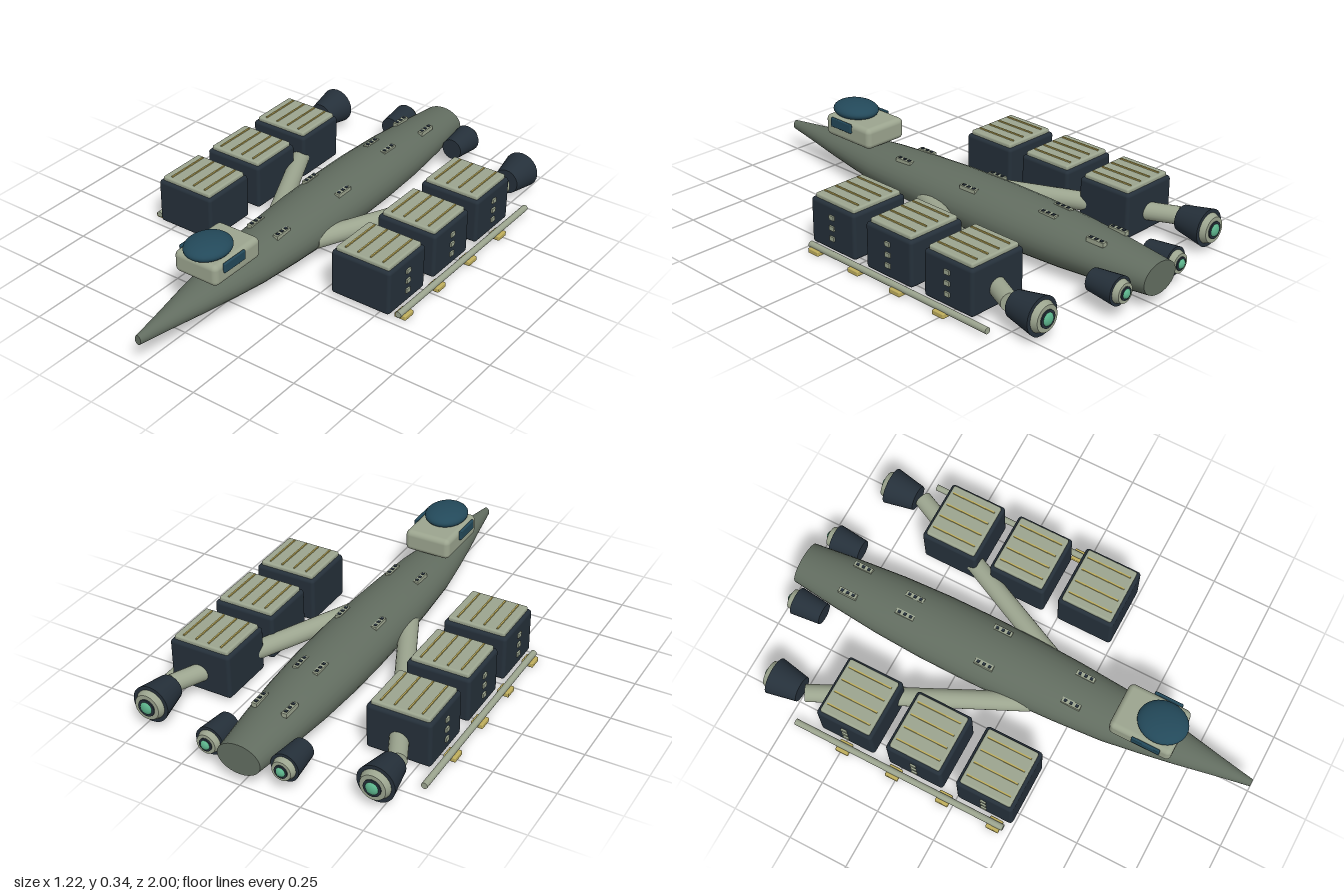
import * as THREE from 'three';
import { mergeVertices } from 'three/addons/utils/BufferGeometryUtils.js';
import { RoundedBoxGeometry } from 'three/addons/geometries/RoundedBoxGeometry.js';

const mat = (name, color) => Object.assign(new THREE.MeshStandardMaterial({ color }), { name });

export function createModel() {
  const model = new THREE.Group();
  model.name = 'cargoShip';
  const hullGreen = mat('hullGreen', 0x626d60);
  const paleGrey = mat('paleGrey', 0x9ca58f);
  const navy = mat('navy', 0x25303a);
  const yellow = mat('yellow', 0xbfae5c);
  const glass = mat('glass', 0x23495a);
  const glow = mat('glow', 0x5cb48c);

  const add = (parent, name, geo, material, x = 0, y = 0, z = 0) => {
    const mesh = new THREE.Mesh(geo, material);
    mesh.name = name;
    mesh.position.set(x, y, z);
    parent.add(mesh);
    return mesh;
  };
  const box = (w, h, d) => new THREE.BoxGeometry(w, h, d);
  const rounded = (w, h, d, r) => new RoundedBoxGeometry(w, h, d, 3, r);
  const group = (parent, name, x = 0, y = 0, z = 0) => {
    const g = new THREE.Group();
    g.name = name;
    g.position.set(x, y, z);
    parent.add(g);
    return g;
  };

  // Hull: elliptical rings listed as z, half width, half height
  const hullY = 0.118;
  const rings = [
    [-1, 0.09, 0.064], [-0.8, 0.113, 0.084], [-0.6, 0.131, 0.099], [-0.4, 0.141, 0.106],
    [-0.22, 0.143, 0.108], [0, 0.14, 0.105], [0.2, 0.131, 0.096], [0.4, 0.117, 0.083],
    [0.55, 0.095, 0.069], [0.7, 0.07, 0.053], [0.85, 0.041, 0.037], [1, 0.014, 0.02],
  ];
  let hull = new THREE.LatheGeometry(rings.map(([z, rx]) => new THREE.Vector2(rx, z)), 28);
  hull.rotateX(Math.PI / 2);
  const p = hull.attributes.position;
  for (let i = 0; i < p.count; i++) {
    const [, rx, ry] = rings[i % rings.length];
    p.setY(i, p.getY(i) * ry / rx);
  }
  hull.deleteAttribute('normal');
  hull.deleteAttribute('uv');
  hull = mergeVertices(hull, 1e-5);
  hull.computeVertexNormals();
  add(model, 'hull', hull, hullGreen, 0, hullY, 0);
  for (const [z, rx, ry] of [rings[0], rings[rings.length - 1]]) {
    const cap = new THREE.CircleGeometry(1, 28);
    if (z < 0) cap.rotateY(Math.PI);
    cap.scale(rx, ry, 1);
    add(model, z < 0 ? 'sternCap' : 'noseCap', cap, hullGreen, 0, hullY, z);
  }

  // Cabin with oval canopy and side windows
  add(model, 'cabin', rounded(0.2, 0.09, 0.264, 0.022), paleGrey, 0, 0.245, 0.551);
  const canopy = new THREE.SphereGeometry(1, 32, 20);
  canopy.scale(0.087, 0.036, 0.102);
  add(model, 'canopy', canopy, glass, 0, 0.307, 0.602);
  for (const s of [-1, 1])
    add(model, 'sideWindow', rounded(0.012, 0.04, 0.12, 0.004), glass, s * 0.103, 0.268, 0.58);

  // Engine pointing backwards; r is the wide rear radius
  const engine = (x, y, z, r, front) => {
    const g = group(model, 'engine', x, y, z);
    const tube = (name, rBack, rFront, len, m, zBack) => {
      const c = new THREE.CylinderGeometry(rFront, rBack, len, 24);
      c.rotateX(Math.PI / 2);
      add(g, name, c, m, 0, 0, zBack + len / 2);
    };
    tube('engineBell', r, front, 0.125, navy, 0);
    tube('engineCollar', r * 0.68, r * 0.8, 0.024, paleGrey, -0.024);
    tube('engineThroat', r * 0.46, r * 0.46, 0.006, navy, -0.029);
    const light = new THREE.SphereGeometry(1, 20, 12);
    light.scale(r * 0.34, r * 0.34, 0.013);
    add(g, 'engineGlow', light, glow, 0, 0, -0.027);
  };

  for (const s of [-1, 1]) {
    // Swept strut carrying the outer engine
    const a = new THREE.Vector3(s * 0.1, 0.103, 0.085);
    const b = new THREE.Vector3(s * 0.48, 0.101, -0.72);
    const dir = b.clone().sub(a);
    const mid = a.clone().add(b).multiplyScalar(0.5);
    const strut = add(model, 'strut', new THREE.CylinderGeometry(0.036, 0.04, dir.length(), 20),
      paleGrey, mid.x, mid.y, mid.z);
    strut.quaternion.setFromUnitVectors(new THREE.Vector3(0, 1, 0), dir.normalize());
    engine(s * 0.474, 0.1, -0.865, 0.077, 0.053);
    engine(s * 0.157, 0.106, -0.948, 0.058, 0.045);

    // Cargo pods with ribbed lids and latches on the outer face
    for (const z of [-0.492, -0.185, 0.122]) {
      const pod = group(model, 'cargoPod', s * 0.425, 0, z);
      add(pod, 'podBody', rounded(0.266, 0.191, 0.244, 0.014), navy, 0, 0.117, 0);
      add(pod, 'podLid', rounded(0.24, 0.024, 0.218, 0.008), paleGrey, 0, 0.217, 0);
      for (const x of [-0.084, -0.028, 0.028, 0.084])
        add(pod, 'lidRib', box(0.006, 0.006, 0.19), yellow, x, 0.231, 0);
      for (const y of [0.075, 0.119, 0.163])
        add(pod, 'latch', box(0.01, 0.018, 0.024), paleGrey, s * 0.135, y, 0);
    }

    // Landing rail on clamps
    const rail = new THREE.CylinderGeometry(0.013, 0.013, 0.935, 14);
    rail.rotateX(Math.PI / 2);
    add(model, 'landingRail', rail, paleGrey, s * 0.585, 0.027, -0.247);
    for (const z of [-0.493, -0.268, -0.043, 0.182])
      add(model, 'railClamp', rounded(0.05, 0.02, 0.056, 0.004), yellow, s * 0.586, 0.013, z);

    // Vents on the back of the hull
    for (const [x, z, y] of [[0.063, -0.755, 0.198], [0.042, -0.505, 0.211],
      [0.08, -0.13, 0.206], [0.063, 0.245, 0.199]]) {
      const vent = group(model, 'hullVent', s * x, y, z);
      add(vent, 'ventPlate', box(0.022, 0.018, 0.08), paleGrey);
      for (const dz of [-0.025, 0, 0.025])
        add(vent, 'ventSlot', box(0.012, 0.004, 0.012), navy, 0, 0.01, dz);
    }
  }
  return model;
}
